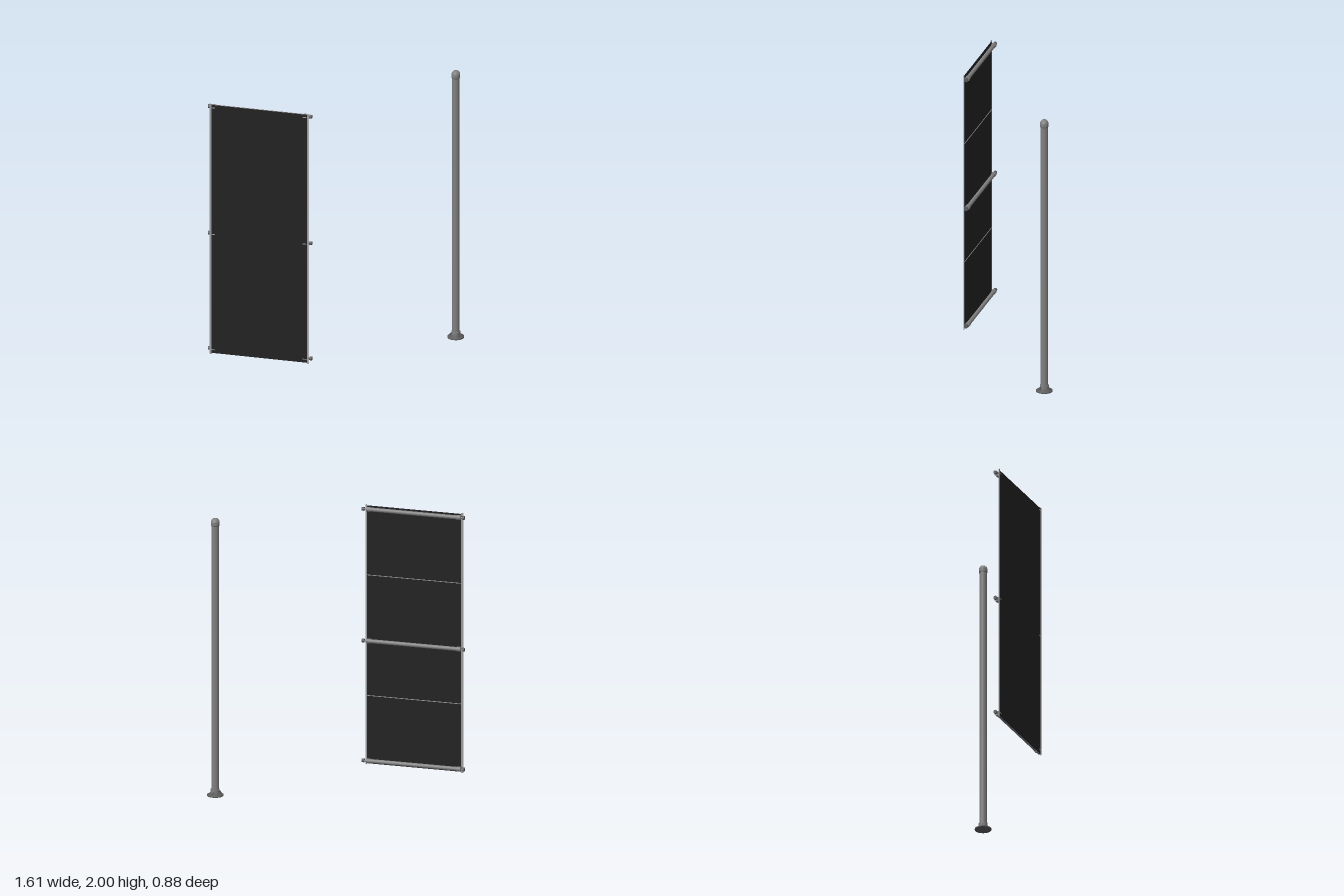
import * as THREE from 'three';

const fabric = new THREE.MeshStandardMaterial({ name: 'black fabric', color: 0x222222, side: THREE.DoubleSide });
const steel = new THREE.MeshStandardMaterial({ name: 'grey steel', color: 0x808080 });
const trim = new THREE.MeshStandardMaterial({ name: 'light grey trim', color: 0x9a9a9a });
const dark = new THREE.MeshStandardMaterial({ name: 'dark grey fitting', color: 0x5a5a5a });

function add(parent, name, geometry, material, x = 0, y = 0, z = 0) {
  const mesh = new THREE.Mesh(geometry, material);
  mesh.name = name;
  mesh.position.set(x, y, z);
  parent.add(mesh);
  return mesh;
}

// cylinder lying along x between x0 and x1
function rod(parent, name, material, radius, x0, x1, y, z) {
  const geometry = new THREE.CylinderGeometry(radius, radius, x1 - x0, 20).rotateZ(Math.PI / 2);
  return add(parent, name, geometry, material, (x0 + x1) / 2, y, z);
}

function lathe(points) {
  return new THREE.LatheGeometry(points.map(([r, y]) => new THREE.Vector2(r, y)), 32);
}

function createPanel() {
  const panel = new THREE.Group();
  panel.name = 'screenPanel';
  const sheetZ = 0.435, barZ = 0.413;
  const left = -0.782, right = -0.097;

  // sheet and its side strips
  add(panel, 'sheet', new THREE.BoxGeometry(right - left, 1.86, 0.003), fabric, (left + right) / 2, 0.99, sheetZ);
  add(panel, 'sideStrip', new THREE.BoxGeometry(0.015, 1.875, 0.006), trim, left - 0.002, 0.99, sheetZ);
  add(panel, 'sideStrip', new THREE.BoxGeometry(0.009, 1.875, 0.006), trim, right + 0.001, 0.99, sheetZ);

  // thin seams across the back
  for (const y of [0.55, 1.42]) {
    add(panel, 'backSeam', new THREE.BoxGeometry(right - left, 0.004, 0.003), trim, (left + right) / 2, y, sheetZ - 0.003);
  }

  // cross bars with collars, pins, knobs and clips
  for (const y of [0.085, 0.95, 1.9]) {
    const bar = new THREE.Group();
    bar.name = 'crossBar';
    panel.add(bar);
    rod(bar, 'tube', steel, 0.014, -0.775, -0.105, y, barZ);
    for (const [side, end] of [[-1, -0.779], [1, -0.104]]) {
      const span = (a, b) => [end + side * a, end + side * b].sort((p, q) => p - q);
      rod(bar, 'collar', steel, 0.017, ...span(-0.028, 0), y, barZ);
      rod(bar, 'pin', steel, 0.005, ...span(0, 0.022), y, barZ);
      rod(bar, 'knob', dark, 0.013, ...span(0.016, side < 0 ? 0.028 : 0.034), y, barZ);
      add(bar, 'clip', new THREE.BoxGeometry(0.008, 0.012, 0.018), dark, end + side * 0.006, y, barZ + 0.013);
      add(bar, 'frontTab', new THREE.BoxGeometry(0.028, 0.005, 0.003), trim, end - side * 0.012, y, sheetZ + 0.002);
    }
  }
  return panel;
}

function createPole() {
  const pole = new THREE.Group();
  pole.name = 'pole';
  pole.position.set(0.745, 0, -0.38);

  add(pole, 'shaft', new THREE.CylinderGeometry(0.026, 0.026, 1.94, 32, 1, true), steel, 0, 0.98, 0);

  // domed cap with a grooved lip
  add(pole, 'cap', lathe([
    [0.026, 1.952], [0.03, 1.952], [0.03, 1.952], [0.03, 1.974], [0.03, 1.974],
    [0.026, 1.987], [0.018, 1.996], [0.009, 1.999], [0, 2],
  ]), steel);
  add(pole, 'capRing', new THREE.CylinderGeometry(0.028, 0.028, 0.006, 32), dark, 0, 1.949, 0);

  // tapered foot plate and socket
  add(pole, 'footPlate', lathe([
    [0, 0], [0.058, 0], [0.058, 0], [0.058, 0.006], [0.058, 0.006], [0.036, 0.02], [0.031, 0.022],
  ]), dark);
  add(pole, 'socket', new THREE.CylinderGeometry(0.031, 0.031, 0.03, 32), steel, 0, 0.032, 0);

  // three gussets around the socket
  const profile = new THREE.Shape([[0.028, 0.005], [0.045, 0.005], [0.045, 0.018], [0.033, 0.036], [0.028, 0.036]]
    .map(([x, y]) => new THREE.Vector2(x, y)));
  for (const degrees of [77, 197, 317]) {
    const geometry = new THREE.ExtrudeGeometry(profile, { depth: 0.008, bevelEnabled: false }).translate(0, 0, -0.004);
    add(pole, 'gusset', geometry, dark).rotation.y = THREE.MathUtils.degToRad(degrees);
  }
  return pole;
}

export function createModel() {
  const model = new THREE.Group();
  model.name = 'screenAndPole';
  model.add(createPanel(), createPole());
  return model;
}
